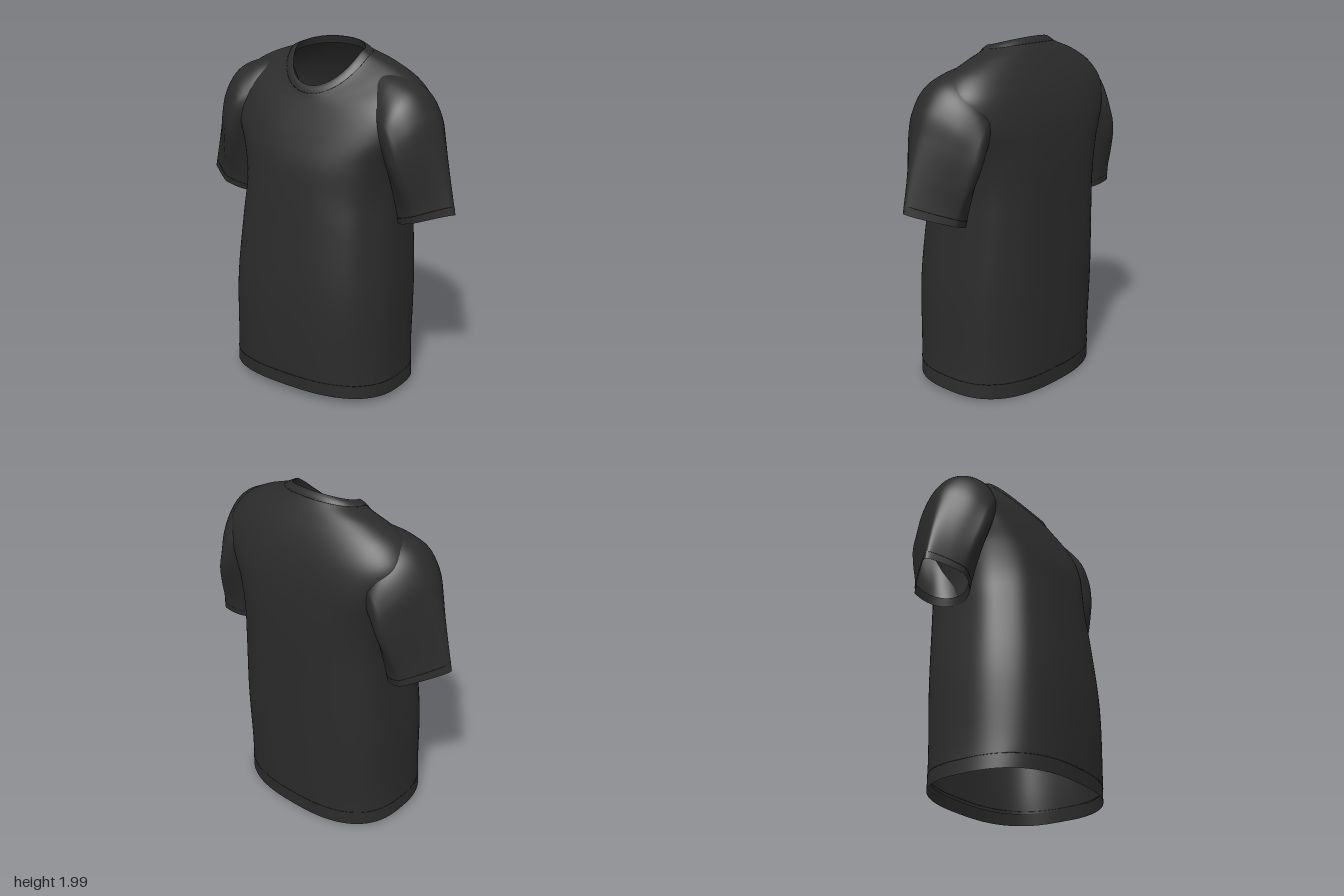
import * as THREE from 'three';

const SEG = 96;
const fabric = new THREE.MeshStandardMaterial({ color: 0x2b2b2b, side: THREE.DoubleSide });
fabric.name = 'charcoal fabric';
const thread = new THREE.MeshStandardMaterial({ color: 0x161616 });
thread.name = 'dark thread';

const pow = (v, e) => Math.sign(v) * Math.abs(v) ** e;
const angles = Array.from({ length: SEG }, (_, i) => (i / SEG) * Math.PI * 2);

// Torso ring: side point, front and back height and depth, squareness of front and back
function torsoRing([sx, sy, sz, fy, fz, by, bz, pf, pb]) {
  return angles.map((a) => {
    const c = Math.cos(a), s = Math.sin(a), front = s >= 0;
    const e = 2 / (front ? pf : pb), k = Math.abs(s) ** 1.2;
    return new THREE.Vector3(
      sx * pow(c, e),
      sy + ((front ? fy : by) - sy) * k,
      sz + ((front ? fz : bz) - sz) * Math.abs(s) ** e);
  });
}

// Sleeve ring: outer point, inner point, half depth and how far the outer side narrows to a fold
function sleeveRing([ox, oy, ix, iy, h, pinch], side) {
  const ring = angles.map((a) => {
    const c = Math.cos(a), s = Math.sin(a), outer = pinch * Math.max(0, c);
    return new THREE.Vector3(
      side * ((ox + ix) / 2 + ((ox - ix) / 2) * c),
      (oy + iy) / 2 + ((oy - iy) / 2) * c + 0.012 * s,
      -0.065 + 0.06 * outer + h * s * (1 - outer));
  });
  return side > 0 ? ring : ring.reverse();
}

// Smooth sampler through a stack of rings; returns the loop at height t
function sampler(rings, warp) {
  const columns = angles.map((_, i) => new THREE.CatmullRomCurve3(rings.map((r) => r[i])));
  return (t) => columns.map((c, i) => warp(c.getPoint(t), angles[i], t));
}

// Skin a list of loops running upward
function skin(loops, name) {
  const positions = [], index = [];
  loops.forEach((loop) => loop.forEach((p) => positions.push(p.x, p.y, p.z)));
  for (let j = 0; j < loops.length - 1; j++) {
    for (let i = 0; i < SEG; i++) {
      const a = j * SEG + i, b = j * SEG + ((i + 1) % SEG);
      index.push(a, a + SEG, b, b, a + SEG, b + SEG);
    }
  }
  const g = new THREE.BufferGeometry();
  g.setAttribute('position', new THREE.Float32BufferAttribute(positions, 3));
  g.setIndex(index);
  g.computeVertexNormals();
  const mesh = new THREE.Mesh(g, fabric);
  mesh.name = name;
  return mesh;
}

function stitch(loop, name) {
  const g = new THREE.TubeGeometry(new THREE.CatmullRomCurve3(loop, true), SEG * 2, 0.0014, 4, true);
  const mesh = new THREE.Mesh(g, thread);
  mesh.name = name;
  return mesh;
}

const range = (a, b, n) => Array.from({ length: n + 1 }, (_, i) => a + ((b - a) * i) / n);

// Copy of a loop drawn in towards its centre and shifted vertically
function inset(loop, scale, dy) {
  const m = loop.reduce((s, p) => s.add(p), new THREE.Vector3()).divideScalar(loop.length);
  return loop.map((p) => new THREE.Vector3(
    m.x + (p.x - m.x) * scale, p.y + dy, m.z + (p.z - m.z) * scale));
}

export function createModel() {
  const shirt = new THREE.Group();
  shirt.name = 'shirt';

  // Torso from hem to neckline
  const torsoRings = [
    [0.537, 0.03, 0.0, 0.05, 0.402, 0.005, -0.38, 2.6, 2.6],
    [0.525, 0.2, 0.0, 0.22, 0.41, 0.2, -0.388, 2.6, 2.6],
    [0.518, 0.6, 0.0, 0.6, 0.408, 0.6, -0.397, 2.6, 2.8],
    [0.485, 1.0, -0.02, 1.0, 0.37, 1.0, -0.403, 2.6, 3],
    [0.475, 1.2, -0.04, 1.2, 0.348, 1.2, -0.407, 2.5, 3],
    [0.505, 1.4, -0.05, 1.37, 0.32, 1.4, -0.405, 2.5, 3],
    [0.575, 1.57, -0.06, 1.5, 0.272, 1.56, -0.392, 2.5, 2.9],
    [0.6, 1.715, -0.07, 1.6, 0.228, 1.7, -0.36, 2.4, 2.7],
    [0.53, 1.818, -0.07, 1.67, 0.195, 1.81, -0.317, 2.3, 2.5],
    [0.4, 1.89, -0.07, 1.71, 0.177, 1.91, -0.26, 2.1, 2.3],
    [0.257, 1.94, -0.06, 1.735, 0.167, 1.965, -0.22, 2, 2.2],
    [0.213, 1.96, -0.05, 1.775, 0.145, 1.998, -0.19, 2, 2.2],
  ].map(torsoRing);
  // Soft vertical drape that fades out at hem and shoulders
  const torso = sampler(torsoRings, (p, a, t) => {
    const fade = Math.sin(Math.PI * Math.min(1, t / 0.6)) ** 2;
    const k = 1 + 0.009 * fade * Math.sin(9 * a + 2 * t) * Math.abs(Math.cos(a));
    return p.set(p.x * k, p.y, p.z * k);
  });
  const collarStart = (torsoRings.length - 2) / (torsoRings.length - 1);
  shirt.add(skin(range(0, collarStart, 60).map(torso), 'torso'));
  const hem = torso(0);
  shirt.add(skin([inset(hem, 0.98, 0.07), hem], 'hemFacing'));
  shirt.add(stitch(torso(0.045), 'hemStitch'));

  // Collar band, slightly padded, with a turned inner edge
  const collarLoops = range(collarStart, 1, 8).map((t, i) => {
    const lift = 0.003 * Math.sin((Math.PI * i) / 8);
    return inset(torso(t), 1 + lift * 3, lift);
  });
  const neck = torso(1);
  collarLoops.push(inset(neck, 0.985, -0.004), inset(neck, 1.06, -0.045));
  shirt.add(skin(collarLoops, 'collar'));
  shirt.add(stitch(torso(collarStart), 'collarStitch'));

  // Mirrored sleeves from cuff to shoulder, the cap flowing into the torso
  for (const side of [1, -1]) {
    const label = side > 0 ? 'left' : 'right';
    const rings = [
      [0.832, 1.14, 0.48, 1.025, 0.165, 0.68],
      [0.808, 1.25, 0.472, 1.1, 0.18, 0.65],
      [0.775, 1.39, 0.46, 1.2, 0.215, 0.6],
      [0.733, 1.54, 0.44, 1.31, 0.25, 0.5],
      [0.688, 1.67, 0.41, 1.39, 0.258, 0.36],
      [0.6, 1.785, 0.38, 1.44, 0.245, 0.22],
      [0.48, 1.842, 0.34, 1.47, 0.2, 0.1],
      [0.36, 1.87, 0.28, 1.5, 0.14, 0],
    ].map((r) => sleeveRing(r, side));
    // Creases gathering towards the armpit
    const sleeve = sampler(rings, (p, a, t) => {
      const fade = Math.sin(Math.PI * Math.min(1, t / 0.75)) ** 2;
      const inner = THREE.MathUtils.clamp((0.72 - Math.abs(p.x)) * 5, 0, 1);
      p.z += 0.011 * fade * inner * Math.sin(38 * Math.abs(p.x) + 13 * p.y) * Math.sin(a) * side;
      return p;
    });
    const cuff = sleeve(0);
    shirt.add(skin(range(0, 1, 40).map(sleeve), label + 'Sleeve'));
    shirt.add(skin([inset(cuff, 0.95, 0.05), cuff], label + 'CuffFacing'));
    shirt.add(stitch(sleeve(0.06), label + 'CuffStitch'));
  }
  return shirt;
}
